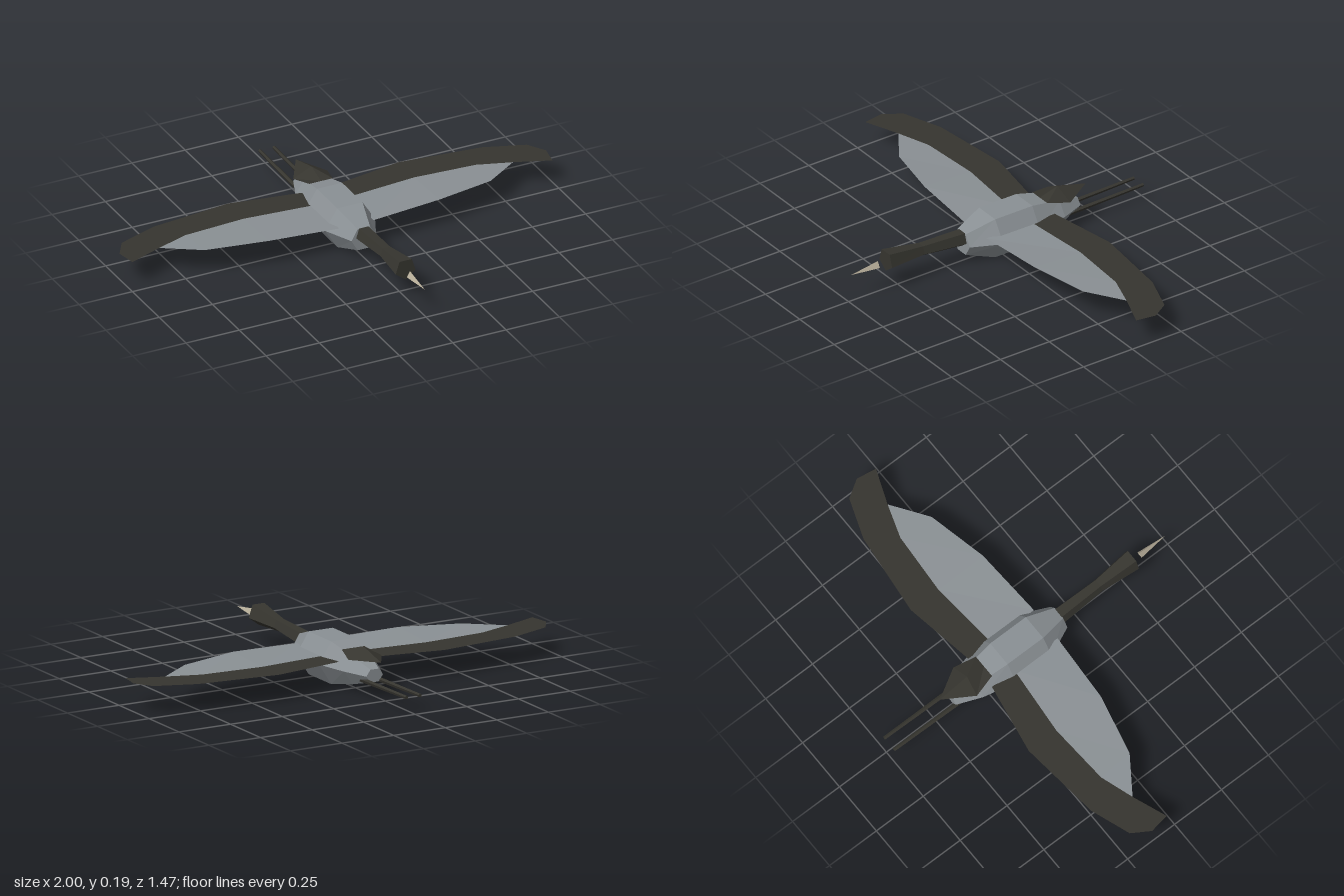
import * as THREE from 'three';

const mat = (color, side = THREE.FrontSide) =>
  new THREE.MeshStandardMaterial({ color, side, flatShading: true });

const grey = 0x8a9094, dark = 0x36352f, horn = 0xb8af9a;

function mesh(name, points, material) {
  const geo = new THREE.BufferGeometry().setFromPoints(points);
  geo.computeVertexNormals();
  const m = new THREE.Mesh(geo, material);
  m.name = name;
  return m;
}

// Closed loft along z. Sections run front to back: [z, centreY, radiusX, radiusY]
function loft(name, sections, sides, phase, color, cx = 0) {
  const rings = sections.map(([z, cy, rx, ry]) =>
    Array.from({ length: sides }, (_, j) => {
      const a = phase + (j / sides) * Math.PI * 2;
      return new THREE.Vector3(cx + rx * Math.cos(a), cy + ry * Math.sin(a), z);
    }));
  const centre = (s) => new THREE.Vector3(cx, s[1], s[0]);
  const last = sections.length - 1;
  const tris = [];
  for (let j = 0; j < sides; j++) {
    const k = (j + 1) % sides;
    for (let i = 0; i < last; i++) {
      const [r, q] = [rings[i], rings[i + 1]];
      tris.push(r[j], q[j], q[k], r[j], q[k], r[k]);
    }
    tris.push(centre(sections[0]), rings[0][j], rings[0][k]);
    tris.push(centre(sections[last]), rings[last][k], rings[last][j]);
  }
  return mesh(name, tris, mat(color));
}

// Thin open sheet between a front edge and a back edge, mirrored when side is -1
function sheet(name, front, back, color, side = 1) {
  const v = (p) => new THREE.Vector3(p[0] * side, p[1], p[2]);
  const [a, b] = (side > 0 ? [front, back] : [back, front]).map((e) => e.map(v));
  const tris = [];
  for (let i = 0; i < a.length - 1; i++) {
    tris.push(a[i], a[i + 1], b[i + 1], a[i], b[i + 1], b[i]);
  }
  return mesh(name, tris, mat(color, THREE.DoubleSide));
}

export function createModel() {
  const bird = new THREE.Group();
  bird.name = 'flyingBird';

  // Six-sided body
  bird.add(loft('body', [
    [0.17, 0.095, 0.058, 0.058],
    [0.04, 0.096, 0.118, 0.107],
    [-0.15, 0.096, 0.118, 0.107],
    [-0.30, 0.096, 0.085, 0.07],
    [-0.41, 0.093, 0.04, 0.032],
  ], 6, 0, grey));

  // Five-sided neck widening into the head, keel downwards
  bird.add(loft('neckAndHead', [
    [0.56, 0.14, 0.049, 0.05],
    [0.38, 0.13, 0.03, 0.03],
    [0.16, 0.114, 0.038, 0.039],
  ], 5, -Math.PI / 2, dark));

  // Three-sided beak
  bird.add(loft('beak', [
    [0.735, 0.129, 0.0005, 0.0005],
    [0.60, 0.132, 0.017, 0.018],
  ], 3, Math.PI / 2, horn));

  // Roof-shaped tail
  const ridge = [[0, 0.172, -0.23], [0, 0.198, -0.32], [0, 0.161, -0.465]];
  const rim = [[0.055, 0.172, -0.23], [0.08, 0.153, -0.33], [0, 0.161, -0.465]];
  const tail = new THREE.Group();
  tail.name = 'tail';
  tail.add(sheet('tailLeft', rim, ridge, dark), sheet('tailRight', rim, ridge, dark, -1));
  bird.add(tail);

  // Wing edges: grey panel, then the dark flight feathers
  const y = 0.126;
  const panelEdge = [[0.08, 0.127, 0.1], [0.4, 0.137, 0.08], [0.67, 0.13, 0.02], [0.83, y, -0.09]];
  const seam = [[0.08, y, -0.13], [0.4, y, -0.158], [0.68, y, -0.14], [0.83, y, -0.09], [0.985, y, -0.03]];
  const featherEdge = [[0.08, y, -0.25], [0.4, y, -0.305], [0.77, y, -0.265], [0.95, y, -0.2], [1, y, -0.12]];

  for (const [label, s] of [['left', 1], ['right', -1]]) {
    const wing = new THREE.Group();
    wing.name = label + 'Wing';
    wing.add(sheet('wingPanel', panelEdge, seam.slice(0, 4), grey, s));
    wing.add(sheet('wingFeathers', seam, featherEdge, dark, s));
    bird.add(wing);

    // Trailing legs
    bird.add(loft(label + 'Leg', [
      [-0.34, 0.068, 0.011, 0.011],
      [-0.735, 0.077, 0.008, 0.008],
    ], 5, Math.PI / 2, dark, 0.033 * s));
  }
  return bird;
}
